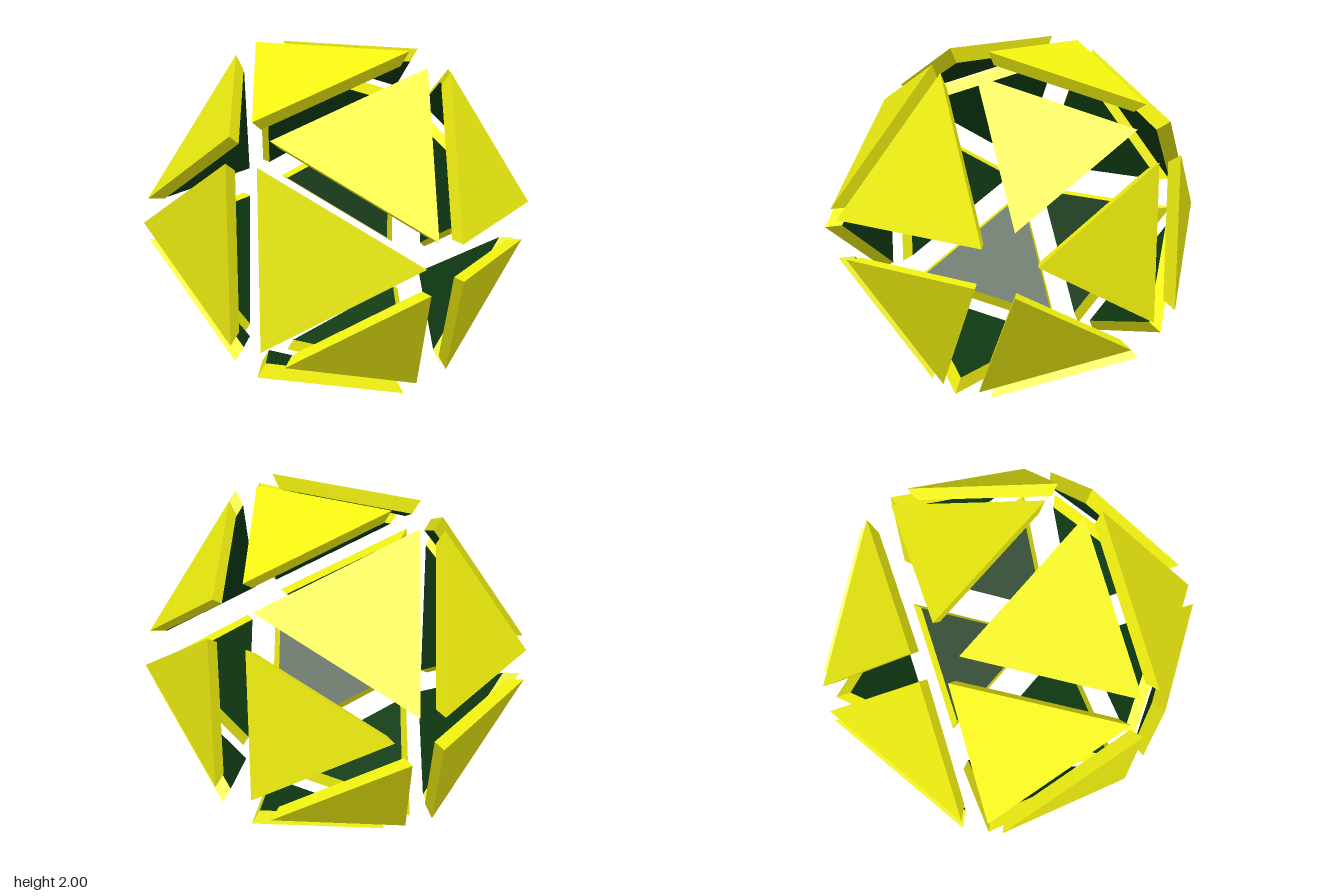
import * as THREE from 'three';

const yellow = new THREE.MeshStandardMaterial({ color: 0xf2f210, flatShading: true });
const darkGreen = new THREE.MeshStandardMaterial({ color: 0x0f3a12, flatShading: true });

const BIG = 0.937;    // circumradius of the solid a large tile is cut from
const SMALL = 0.838;  // same for a small tile
const TAPER = 0.895;  // inner face relative to the outer one

// Sign pattern (x y z) of the directions that carry small tiles
const smallTiles = new Set(['+0-', '-0-', '0+-', '0--', '+-0', '+-+', '++-', '+--', '---']);

const signOf = (v) => (Math.abs(v) < 0.1 ? '0' : v > 0 ? '+' : '-');

// Distance of a tile's outer centre along one axis, from its normal's component
function spread(v) {
  const a = Math.abs(v);
  if (a < 0.1) return 0;
  return Math.sign(v) * (a < 0.45 ? 0.36 : a < 0.7 ? 0.552 : 0.897);
}

function meshFrom(name, triangles, material) {
  const geometry = new THREE.BufferGeometry().setFromPoints(triangles);
  geometry.computeVertexNormals();
  const mesh = new THREE.Mesh(geometry, material);
  mesh.name = name;
  return mesh;
}

// A triangular plate whose walls narrow towards the centre
function createTile(corners) {
  const middle = new THREE.Vector3();
  corners.forEach((c) => middle.addScaledVector(c, 1 / 3));
  const normal = middle.clone().normalize();
  const key = normal.toArray().map(signOf).join('');
  const size = smallTiles.has(key) ? SMALL : BIG;
  const shift = new THREE.Vector3(...normal.toArray().map(spread)).addScaledVector(middle, -size);

  const outer = corners.map((c) => c.clone().multiplyScalar(size).add(shift));
  const inner = corners.map((c) => c.clone().multiplyScalar(size * TAPER).add(shift));

  const shell = [...outer];
  for (let i = 0; i < 3; i++) {
    const j = (i + 1) % 3;
    shell.push(outer[i], inner[i], inner[j], outer[i], inner[j], outer[j]);
  }

  const tile = new THREE.Group();
  tile.name = 'triangularTile';
  tile.add(
    meshFrom('tileFaceAndWalls', shell, yellow),
    meshFrom('tileInnerFace', [inner[0], inner[2], inner[1]], darkGreen),
  );
  return tile;
}

export function createModel() {
  const model = new THREE.Group();
  model.name = 'explodedIcosahedron';

  // One separate tile for each of the twenty faces
  const positions = new THREE.IcosahedronGeometry(1, 0).getAttribute('position');
  for (let i = 0; i < positions.count; i += 3) {
    const corners = [0, 1, 2].map((k) => new THREE.Vector3().fromBufferAttribute(positions, i + k));
    model.add(createTile(corners));
  }

  model.position.set(0, 1, -0.006);
  return model;
}
